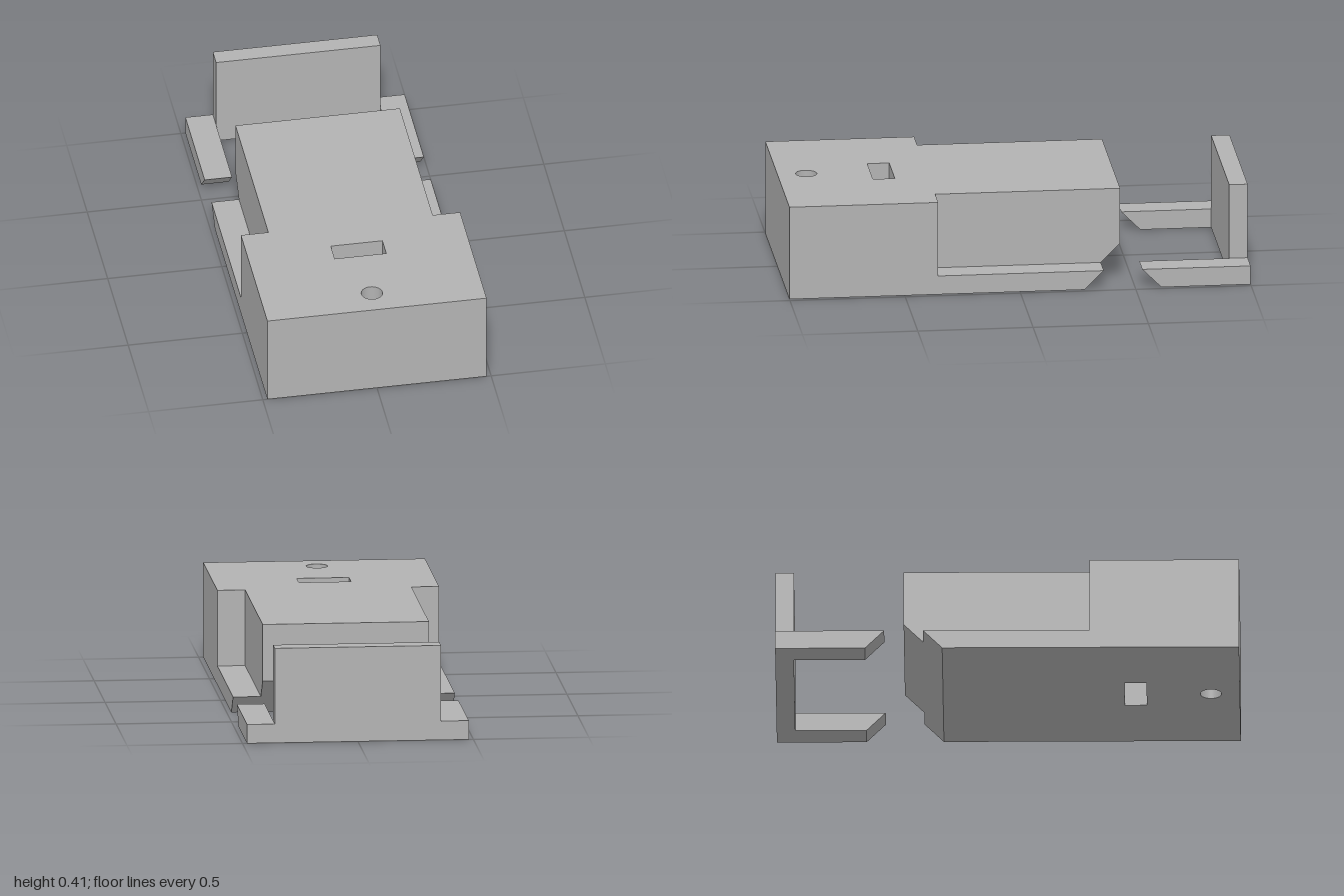
import * as THREE from 'three';

const HALF = 0.48, CORE = 0.36;      // half widths: overall and raised centre
const HEIGHT = 0.415, LEDGE = 0.083; // full height and side ledge height

// Side profile given as [z, y], extruded along x from x0 to x1
function sideExtrude(points, x0, x1) {
  const shape = new THREE.Shape(points.map(([z, y]) => new THREE.Vector2(-z, y)));
  return new THREE.ExtrudeGeometry(shape, { depth: x1 - x0, bevelEnabled: false })
    .rotateY(Math.PI / 2).translate(x0, 0, 0);
}

// Rectangle in plan, with z pointing down the sheet
function planRect(Type, x, z0, z1) {
  return new Type([[-x, -z1], [x, -z1], [x, -z0], [-x, -z0]].map(([a, b]) => new THREE.Vector2(a, b)));
}

export function createModel() {
  const model = new THREE.Group();
  const grey = new THREE.MeshStandardMaterial({ color: 0xb2b2b2 });
  grey.name = 'grey';
  const add = (name, geometry, parent) => {
    const mesh = new THREE.Mesh(geometry, grey);
    mesh.name = name;
    parent.add(mesh);
  };

  const body = new THREE.Group();
  body.name = 'body';
  const bracket = new THREE.Group();
  bracket.name = 'rearBracket';
  model.add(body, bracket);

  // Full-width front block, pierced by a slot and a round hole
  const plan = planRect(THREE.Shape, HALF, 0.355, 1);
  const roundHole = new THREE.Path();
  roundHole.absarc(0, -0.875, 0.046, 0, Math.PI * 2, true);
  plan.holes.push(planRect(THREE.Path, 0.113, 0.503, 0.598), roundHole);
  add('frontBlock', new THREE.ExtrudeGeometry(plan, {
    depth: HEIGHT, bevelEnabled: false, curveSegments: 32,
  }).rotateX(-Math.PI / 2), body);

  // Narrower raised centre with a chamfered lower rear edge
  add('centreBlock', sideExtrude(
    [[0.355, 0], [-0.28, 0], [-0.447, 0.167], [-0.447, HEIGHT], [0.355, HEIGHT]], -CORE, CORE), body);

  // Ledges beside the centre, and bracket arms with undercut tips
  for (const [side, x0] of [['left', CORE], ['right', -HALF]]) {
    const x1 = x0 + HALF - CORE;
    add(side + 'Ledge', sideExtrude(
      [[0.355, 0], [-0.28, 0], [-0.28 - LEDGE, LEDGE], [0.355, LEDGE]], x0, x1), body);
    add(side + 'Arm', sideExtrude(
      [[-0.53 - LEDGE, 0], [-1, 0], [-1, LEDGE], [-0.53, LEDGE]], x0, x1), bracket);
  }

  // Upright wall joining the arms
  add('rearWall', new THREE.BoxGeometry(2 * CORE, HEIGHT, 0.08)
    .translate(0, HEIGHT / 2, -0.96), bracket);

  return model;
}
